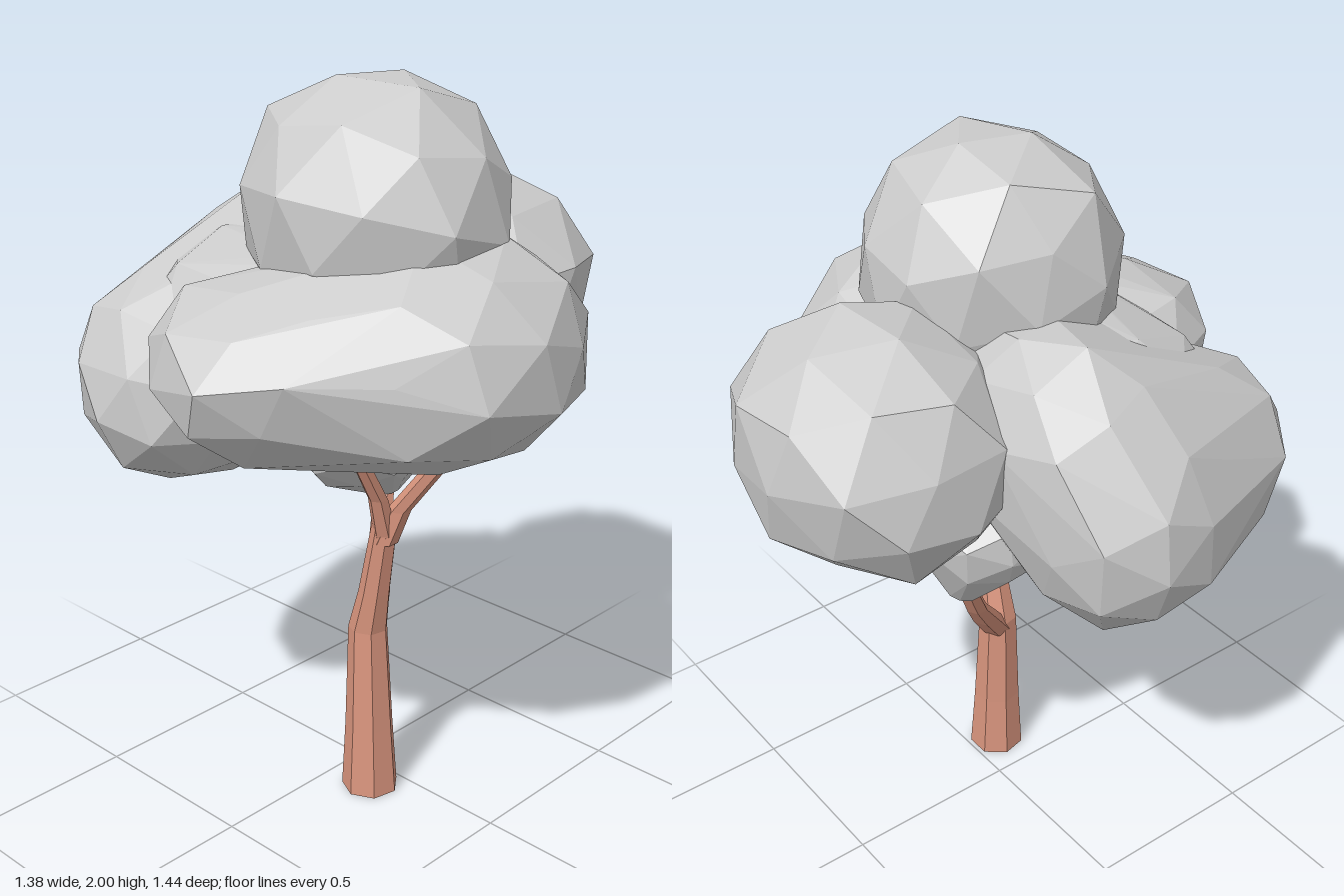
import * as THREE from 'three';
import { ConvexGeometry } from 'three/addons/geometries/ConvexGeometry.js';

const leafMat = new THREE.MeshStandardMaterial({ color: 0xcccccc, flatShading: true });
const barkMat = new THREE.MeshStandardMaterial({ color: 0xd9957e, flatShading: true });

// Points of a slightly uneven ball that fills the box from min to max
function ballPoints([min, max], seed) {
  const pos = new THREE.IcosahedronGeometry(1, 1).attributes.position;
  const turn = new THREE.Euler(seed * 1.3, seed * 2.1, 0);
  const points = [];
  for (let i = 0; i < pos.count; i++) {
    const v = new THREE.Vector3().fromBufferAttribute(pos, i);
    const wobble = Math.sin(v.x * 5 + seed) * Math.sin(v.y * 6 + seed * 2) + Math.sin(v.z * 7 + seed * 3);
    points.push(v.multiplyScalar(1 + 0.035 * wobble).applyEuler(turn));
  }
  const box = new THREE.Box3().setFromPoints(points);
  const size = box.getSize(new THREE.Vector3());
  const low = new THREE.Vector3(...min);
  const scale = new THREE.Vector3(...max).sub(low).divide(size);
  return points.map((p) => p.sub(box.min).multiply(scale).add(low));
}

// Faceted leaf clump wrapped around one or more balls
function clump(name, seed, ...boxes) {
  const points = boxes.flatMap((box, i) => ballPoints(box, seed + i * 5));
  const mesh = new THREE.Mesh(new ConvexGeometry(points), leafMat);
  mesh.name = name;
  return mesh;
}

// Tapered limb through rings given as [x, y, z, radius], from bottom to top
function limb(name, rings, sides) {
  const n = rings.length - 1;
  const geo = new THREE.CylinderGeometry(1, 1, 1, sides, n);
  const pos = geo.attributes.position;
  for (let i = 0; i < pos.count; i++) {
    const [x, y, z, r] = rings[Math.round((pos.getY(i) + 0.5) * n)];
    pos.setXYZ(i, x + pos.getX(i) * r, y, z + pos.getZ(i) * r);
  }
  geo.computeVertexNormals();
  const mesh = new THREE.Mesh(geo, barkMat);
  mesh.name = name;
  return mesh;
}

export function createModel() {
  const tree = new THREE.Group();
  tree.name = 'tree';

  // Trunk and branches
  const wood = new THREE.Group();
  wood.name = 'wood';
  wood.add(
    limb('trunk', [
      [0.128, 0, 0.085, 0.08], [0.125, 0.2, 0.085, 0.068], [0.117, 0.5, 0.083, 0.055],
      [0.145, 0.62, 0.088, 0.044], [0.185, 0.84, 0.09, 0.035],
    ], 7),
    limb('frontBranch', [
      [0.185, 0.8, 0.09, 0.033], [0.195, 0.92, 0.13, 0.027], [0.205, 1.2, 0.29, 0.02],
    ], 6),
    limb('leftBranch', [
      [0.185, 0.78, 0.09, 0.034], [0.22, 0.88, 0.075, 0.032], [0.42, 1.17, 0.0, 0.028],
    ], 6),
    limb('lowBranch', [
      [0.11, 0.46, 0.075, 0.045], [0.065, 0.565, 0.0, 0.042], [0.02, 0.66, -0.065, 0.032],
      [-0.035, 0.82, -0.145, 0.028],
    ], 6),
  );

  // Overlapping clumps of the crown
  const crown = new THREE.Group();
  crown.name = 'crown';
  crown.add(
    clump('topClump', 1, [[-0.21, 1.3, -0.27], [0.48, 2, 0.41]]),
    clump('backClump', 2, [[-0.37, 1.03, -0.72], [0.39, 1.7, -0.03]]),
    clump('rightClump', 3,
      [[-0.61, 0.91, 0.0], [-0.02, 1.49, 0.63]],
      [[-0.69, 0.87, -0.22], [-0.1, 1.5, 0.36]],
      [[-0.55, 1.1, -0.27], [0.1, 1.66, 0.25]]),
    clump('leftClump', 5,
      [[0.03, 1.04, -0.32], [0.69, 1.65, 0.47]],
      [[-0.23, 1.09, 0.03], [0.42, 1.57, 0.72]]),
    clump('coreClump', 7,
      [[-0.45, 1.05, -0.2], [0.0, 1.58, 0.5]],
      [[-0.1, 1.1, -0.2], [0.35, 1.6, 0.5]]),
    clump('lowClump', 8,
      [[-0.23, 0.83, -0.29], [0.15, 1.18, 0.16]],
      [[-0.1, 0.78, -0.2], [0.02, 0.86, -0.08]]),
  );

  tree.add(wood, crown);
  return tree;
}
